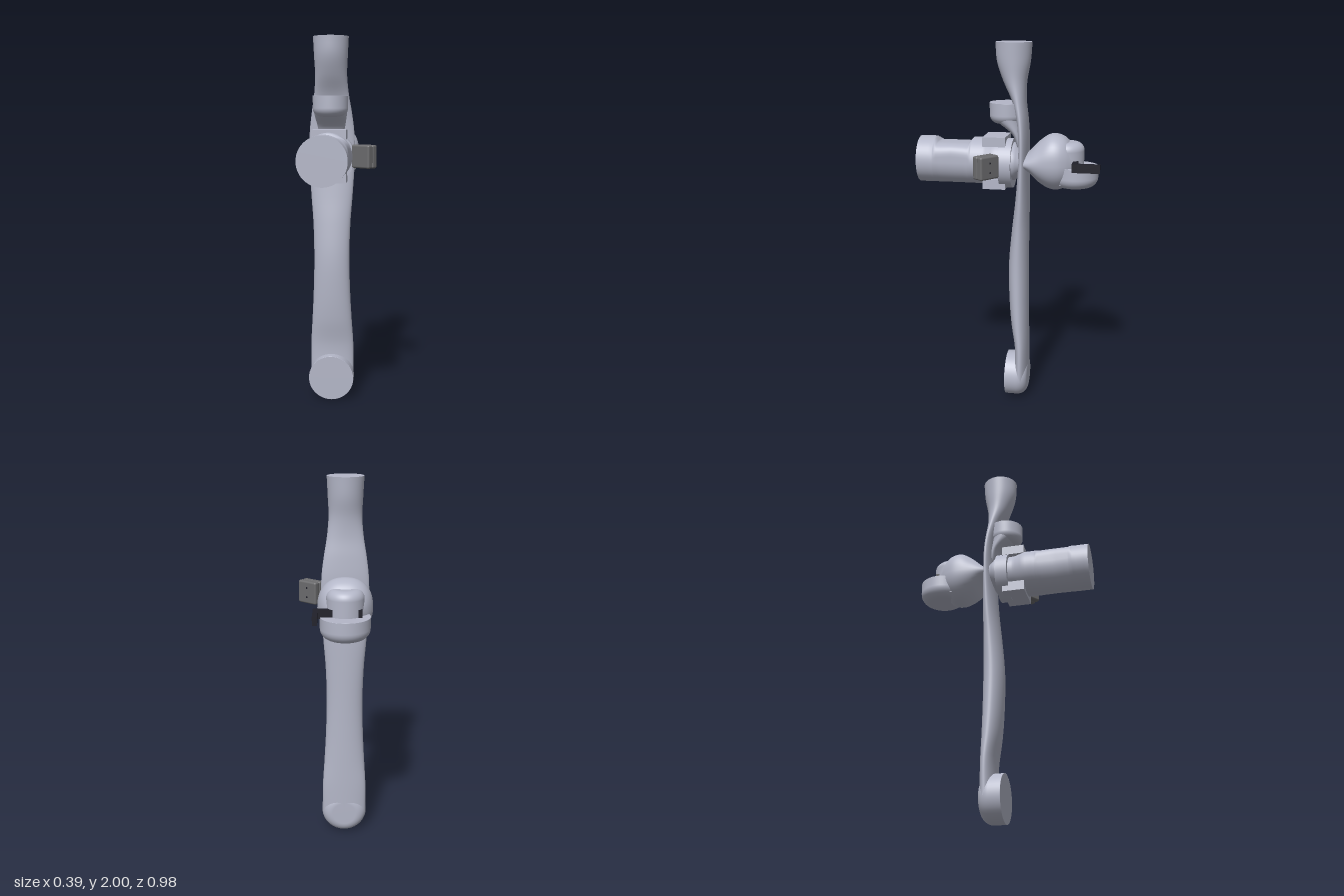
import * as THREE from 'three';
import { RoundedBoxGeometry } from 'three/addons/geometries/RoundedBoxGeometry.js';

const CX = -0.058; // arm axis
const LINK_Y = 1.375; // height of the forward link

// Superellipse loft along z. Section: [z, yOffset, halfWidth, topHeight, bottomHeight, topExponent]
function loft(sections, steps, smooth, seg = 48) {
  const times = sections.map((s) => s[0]);
  const values = sections.flatMap((s) => s.slice(1));
  const Interp = smooth ? THREE.CubicInterpolant : THREE.LinearInterpolant;
  const interp = new Interp(times, values, 5);
  const stops = [];
  for (let i = 0; i < times.length - 1; i++)
    for (let k = 0; k < steps; k++) stops.push(times[i] + (times[i + 1] - times[i]) * k / steps);
  stops.push(times[times.length - 1]);

  const pos = [], idx = [];
  const pw = (v, n) => Math.sign(v) * Math.abs(v) ** (2 / n);
  for (const t of stops) {
    const [off, w, top, bottom, n] = interp.evaluate(t);
    for (let j = 0; j < seg; j++) {
      const a = j / seg * Math.PI * 2, s = Math.sin(a);
      const e = s > 0 ? n : 2;
      pos.push(w * pw(Math.cos(a), e), off + (s > 0 ? top : bottom) * pw(s, e), t);
    }
  }
  for (let i = 0; i < stops.length - 1; i++) {
    for (let j = 0; j < seg; j++) {
      const a = i * seg + j, b = i * seg + (j + 1) % seg;
      idx.push(a, b, b + seg, a, b + seg, a + seg);
    }
  }
  // flat end caps with their own vertices
  for (const end of [0, stops.length - 1]) {
    const base = pos.length / 3;
    for (let j = 0; j < seg; j++) {
      const p = (end * seg + j) * 3;
      pos.push(pos[p], pos[p + 1], pos[p + 2]);
    }
    for (let j = 1; j < seg - 1; j++)
      end ? idx.push(base, base + j, base + j + 1) : idx.push(base, base + j + 1, base + j);
  }
  const g = new THREE.BufferGeometry();
  g.setAttribute('position', new THREE.Float32BufferAttribute(pos, 3));
  g.setIndex(idx);
  g.computeVertexNormals();
  return g;
}

// Cup along +y from 0 to h: flat sharp top, rounded lower edge
function cup(r, h, edge) {
  const pts = [new THREE.Vector2(0, 0)];
  for (let i = 0; i <= 10; i++) {
    const a = i / 10 * Math.PI / 2;
    pts.push(new THREE.Vector2(r - edge + edge * Math.sin(a), edge - edge * Math.cos(a)));
  }
  pts.push(new THREE.Vector2(r, h - 0.001), new THREE.Vector2(r, h), new THREE.Vector2(r - 0.001, h), new THREE.Vector2(0, h));
  return new THREE.LatheGeometry(pts, 48);
}

export function createModel() {
  const model = new THREE.Group();
  const shell = new THREE.MeshStandardMaterial({ name: 'pale blue grey', color: 0xb4b7c8 });
  const dark = new THREE.MeshStandardMaterial({ name: 'near black', color: 0x20202a });
  const grey = new THREE.MeshStandardMaterial({ name: 'mid grey', color: 0x6c6c6e });

  const add = (name, geometry, x, y, z, material = shell, parent = model) => {
    const m = new THREE.Mesh(geometry, material);
    m.name = name;
    m.position.set(x, y, z);
    parent.add(m);
    return m;
  };
  const box = (w, h, d) => new THREE.BoxGeometry(w, h, d);

  // Long upright arm, flattened where the joint crosses it: [y, z, halfWidth, halfDepth]
  const column = [
    [0.12, -0.07, 0.121, 0.04], [0.3, -0.072, 0.12, 0.038], [0.45, -0.06, 0.111, 0.048],
    [0.6, -0.053, 0.103, 0.053], [0.8, -0.051, 0.098, 0.054], [1.0, -0.06, 0.103, 0.046],
    [1.15, -0.069, 0.114, 0.037], [1.35, -0.076, 0.125, 0.027], [1.5, -0.076, 0.122, 0.026],
    [1.6, -0.068, 0.11, 0.028], [1.7, -0.05, 0.094, 0.037], [1.8, -0.028, 0.086, 0.062],
    [1.9, -0.02, 0.09, 0.088], [2.0, -0.02, 0.095, 0.096],
  ].map(([y, z, w, d]) => [y, -z, w, d, d, 2]);
  add('uprightArm', loft(column, 5, true).rotateX(-Math.PI / 2), CX, 0, 0);

  // Round joint at the foot, facing forward
  add('footJoint', cup(0.125, 0.123, 0.06).rotateX(Math.PI / 2), CX, 0.125, -0.11);

  // Upper cup in front of the arm, with a sloping neck
  add('upperCup', cup(0.094, 0.11, 0.045), CX, 1.58, 0.014);
  const neck = [
    [1.46, 0.06, 0.06, 0.02, 0.02, 2], [1.53, 0.04, 0.075, 0.03, 0.03, 2],
    [1.6, -0.005, 0.088, 0.07, 0.075, 2], [1.64, -0.012, 0.09, 0.08, 0.085, 2],
  ];
  add('upperCupNeck', loft(neck, 5, true).rotateX(-Math.PI / 2), CX, 0, 0);

  // Forward link: round tube with a flattened pad on top
  const R = 0.125;
  const link = [
    [-0.085, 0, 0.085, 0.05, 0.05, 2], [-0.03, 0, 0.12, 0.1, 0.1, 2], [0.04, 0, 0.108, 0.108, 0.108, 2],
    [0.075, 0, 0.108, 0.108, 0.108, 2], [0.13, 0, R, R, R, 2], [0.195, 0, R, R, R, 2],
    [0.215, 0, 0.121, 0.1, R, 3.4], [0.3, 0, 0.117, 0.1, R, 3.8], [0.38, 0, 0.121, 0.1, R, 3.4],
    [0.405, 0, R, R, R, 2], [0.49, 0, R, R, R, 2],
  ];
  add('forwardLink', loft(link, 4, false), CX, LINK_Y, 0);

  // Clamp around the link root
  const clamp = new THREE.Group();
  clamp.name = 'clamp';
  model.add(clamp);
  add('clampRing', new THREE.CylinderGeometry(0.133, 0.133, 0.066, 48).rotateX(Math.PI / 2), CX, 1.365, 0.012, shell, clamp);
  add('clampTopBlock', box(0.181, 0.05, 0.122), CX, 1.489, 0.073, shell, clamp);
  add('clampBottomBlock', box(0.181, 0.055, 0.122), CX, 1.263, 0.073, shell, clamp);

  // Rear elbow swelling out behind the arm
  const elbow = [
    [-0.345, 0, 0.085, 0.07, 0.08, 2.3], [-0.31, 0, 0.115, 0.125, 0.12, 2.4], [-0.27, 0, 0.135, 0.15, 0.142, 2.4],
    [-0.22, 0, 0.14, 0.153, 0.14, 2.3], [-0.16, 0, 0.132, 0.115, 0.105, 2], [-0.1, 0, 0.118, 0.055, 0.045, 2],
    [-0.06, 0, 0.1, 0.03, 0.03, 2],
  ];
  add('rearElbow', loft(elbow, 5, true), CX, LINK_Y, 0);

  // Rear cup with the domed post standing in it
  add('rearCup', cup(0.125, 0.113, 0.055), CX, 1.25, -0.35);
  add('rearDome', cup(0.095, 0.22, 0.045).rotateX(Math.PI), CX, 1.49, -0.303);

  // Bent dark bracket
  const bracket = new THREE.Group();
  bracket.name = 'bracket';
  model.add(bracket);
  add('bracketCrossbar', box(0.24, 0.045, 0.028), -0.02, 1.378, -0.36, dark, bracket);
  add('bracketArm', box(0.024, 0.045, 0.145), 0.088, 1.378, -0.4185, dark, bracket);

  // Small rounded sensor, turned outward, in two halves with a seam
  const sensor = new THREE.Group();
  sensor.name = 'sensor';
  sensor.position.set(0.126, LINK_Y, 0.096);
  sensor.rotation.y = -0.67;
  model.add(sensor);
  add('sensorBack', new RoundedBoxGeometry(0.122, 0.122, 0.036, 3, 0.01), 0, 0, -0.017, grey, sensor);
  add('sensorFront', new RoundedBoxGeometry(0.122, 0.122, 0.036, 3, 0.01), 0, 0, 0.017, grey, sensor);
  for (const y of [-0.025, 0.025])
    add('sensorScrew', new THREE.CylinderGeometry(0.005, 0.005, 0.002, 12).rotateX(Math.PI / 2), 0, y, -0.035, dark, sensor);

  return model;
}
